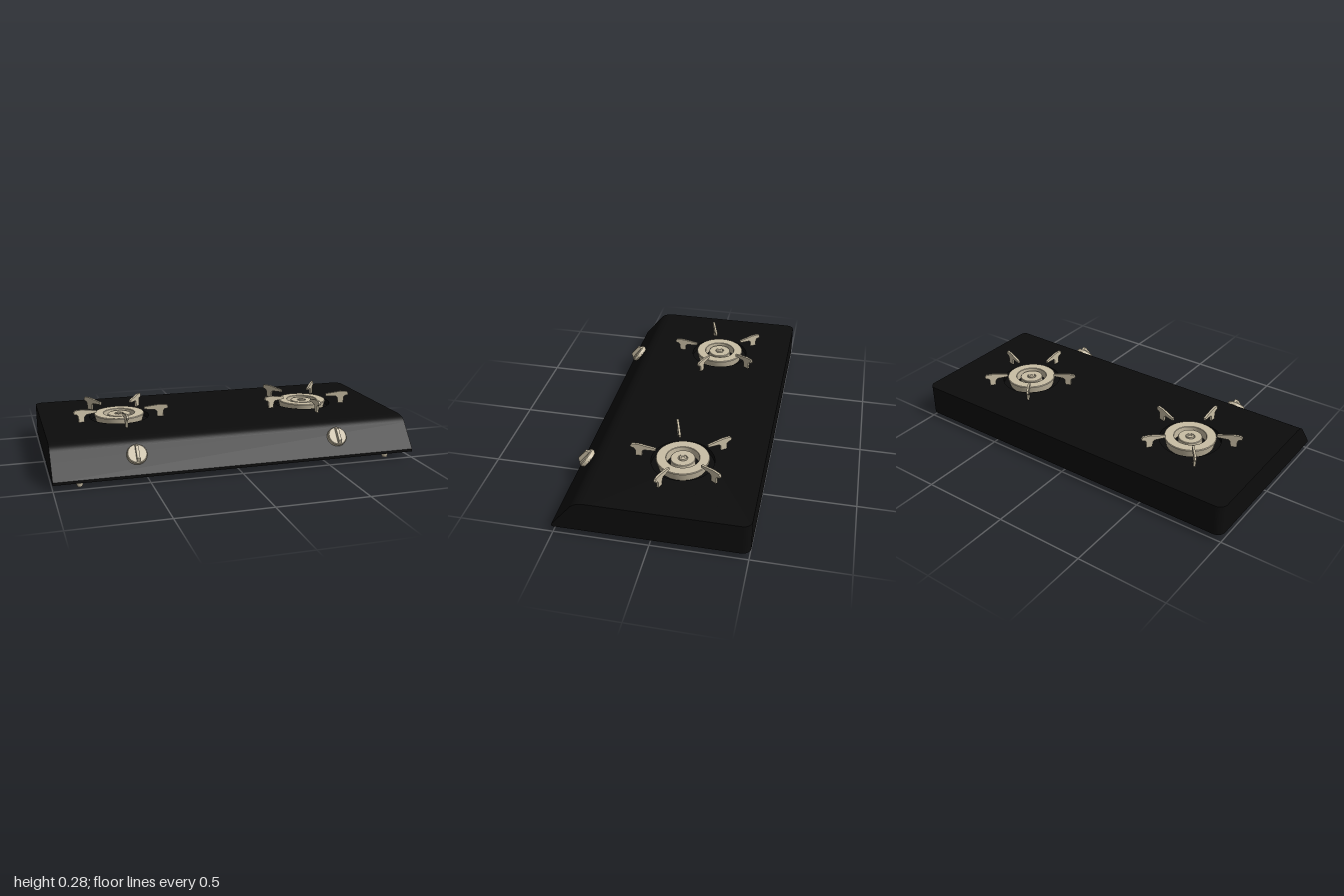
import * as THREE from 'three';
import { toCreasedNormals } from 'three/addons/utils/BufferGeometryUtils.js';

const black = new THREE.MeshStandardMaterial({ color: 0x0c0c0c });
const metal = new THREE.MeshStandardMaterial({ color: 0xc9bea5 });

const BOTTOM = 0.035, TOP = 0.21, RECESS = 0.18, SPLIT = 0.3, BACK = -0.505;
const BURNER_X = 0.56, BURNER_Z = -0.08;

function part(parent, name, geometry, material) {
  const mesh = new THREE.Mesh(toCreasedNormals(geometry, 0.6), material);
  mesh.name = name;
  parent.add(mesh);
  return mesh;
}

const points = (list) => list.map(([x, y]) => new THREE.Vector2(x, y));
const lathe = (list, segments = 48) => new THREE.LatheGeometry(points(list), segments);

// Rear slab outline seen from above, with rounded back corners
function slab(yLow, yHigh, withHoles) {
  const r = 0.045;
  const s = new THREE.Shape();
  s.moveTo(1, SPLIT);
  s.lineTo(-1, SPLIT);
  s.lineTo(-1, BACK + r);
  s.absarc(-1 + r, BACK + r, r, Math.PI, Math.PI * 1.5, false);
  s.absarc(1 - r, BACK + r, r, Math.PI * 1.5, Math.PI * 2, false);
  s.closePath();
  if (withHoles) {
    for (const side of [-1, 1]) {
      s.holes.push(new THREE.Path().absarc(side * BURNER_X, BURNER_Z, 0.168, 0, Math.PI * 2, true));
    }
  }
  const g = new THREE.ExtrudeGeometry(s, { depth: yHigh - yLow, bevelEnabled: false, curveSegments: 24 });
  return g.rotateX(Math.PI / 2).translate(0, yHigh, 0);
}

// Sloped front panel, a side profile swept across the full width
function frontPanel() {
  const s = new THREE.Shape();
  s.moveTo(SPLIT, BOTTOM);
  s.lineTo(0.505, BOTTOM);
  s.lineTo(0.505, 0.05);
  s.lineTo(0.4, 0.178);
  s.quadraticCurveTo(0.375, TOP, 0.315, TOP);
  s.lineTo(SPLIT, TOP);
  s.closePath();
  const g = new THREE.ExtrudeGeometry(s, { depth: 2, bevelEnabled: false, curveSegments: 10 });
  return g.rotateY(-Math.PI / 2).translate(1, 0, 0);
}

// Pan support finger: profile in (radius, height), swept to a thin plate
function supportArm() {
  const t = 0.012;
  const s = new THREE.Shape(points([
    [0.22, RECESS + 0.03], [0.253, 0.21], [0.255, 0.245], [0.262, 0.254], [0.28, 0.259],
    [0.282, 0.268], [0.274, 0.28], [0.232, 0.28], [0.145, 0.264], [0.145, 0.251],
    [0.207, 0.249], [0.217, 0.241],
  ]));
  const g = new THREE.ExtrudeGeometry(s, { depth: t, bevelEnabled: false });
  return g.translate(0, 0, -t / 2).rotateY(-Math.PI / 2);
}

function createBurner() {
  const burner = new THREE.Group();
  burner.name = 'burner';
  // outer ring, standing in the recess
  part(burner, 'burnerRing', lathe([
    [0.088, RECESS], [0.13, RECESS], [0.142, 0.226], [0.139, 0.23], [0.09, 0.23], [0.088, 0.228], [0.088, RECESS],
  ]), metal);
  // inner cap with a small raised hub
  part(burner, 'burnerCap', lathe([
    [0.066, RECESS], [0.066, 0.222], [0.063, 0.225], [0.026, 0.225], [0.024, 0.22], [0.02, 0.22],
    [0.019, 0.229], [0.01, 0.229], [0.008, 0.226], [0, 0.226],
  ]), metal);
  for (let i = 0; i < 5; i++) {
    part(burner, 'supportArm', supportArm(), metal).rotation.y = (i * Math.PI * 2) / 5;
  }
  return burner;
}

// Control knob built along +y, with a tapered grip bar
function createKnob() {
  const knob = new THREE.Group();
  knob.name = 'knob';
  part(knob, 'knobBase', lathe([
    [0, -0.005], [0.05, -0.005], [0.05, 0.004], [0.054, 0.005], [0.053, 0.022], [0.049, 0.027], [0, 0.027],
  ], 40), metal);
  const s = new THREE.Shape(points([
    [-0.05, 0.02], [0.05, 0.02], [0.046, 0.032], [0.034, 0.048], [-0.034, 0.048], [-0.046, 0.032],
  ]));
  const bar = new THREE.ExtrudeGeometry(s, { depth: 0.016, bevelEnabled: false });
  part(knob, 'knobGrip', bar.translate(0, 0, -0.008).rotateY(Math.PI / 2), metal);
  return knob;
}

export function createModel() {
  const model = new THREE.Group();
  model.name = 'gasHob';

  part(model, 'bodyBase', slab(BOTTOM, RECESS, false), black);
  part(model, 'bodyTop', slab(RECESS, TOP, true), black);
  part(model, 'frontPanel', frontPanel(), black);

  for (const side of [-1, 1]) {
    const burner = createBurner();
    burner.position.set(side * BURNER_X, 0, BURNER_Z);
    model.add(burner);

    const knob = createKnob();
    knob.position.set(side * BURNER_X, 0.134, 0.437);
    knob.rotation.x = Math.atan2(0.128, 0.105); // square to the slope
    model.add(knob);

    // tapered feet
    for (const z of [0.447, -0.423]) {
      const foot = part(model, 'foot', new THREE.CylinderGeometry(0.022, 0.014, 0.037, 20), metal);
      foot.position.set(side * 0.86, 0.0185, z);
    }
  }
  return model;
}
